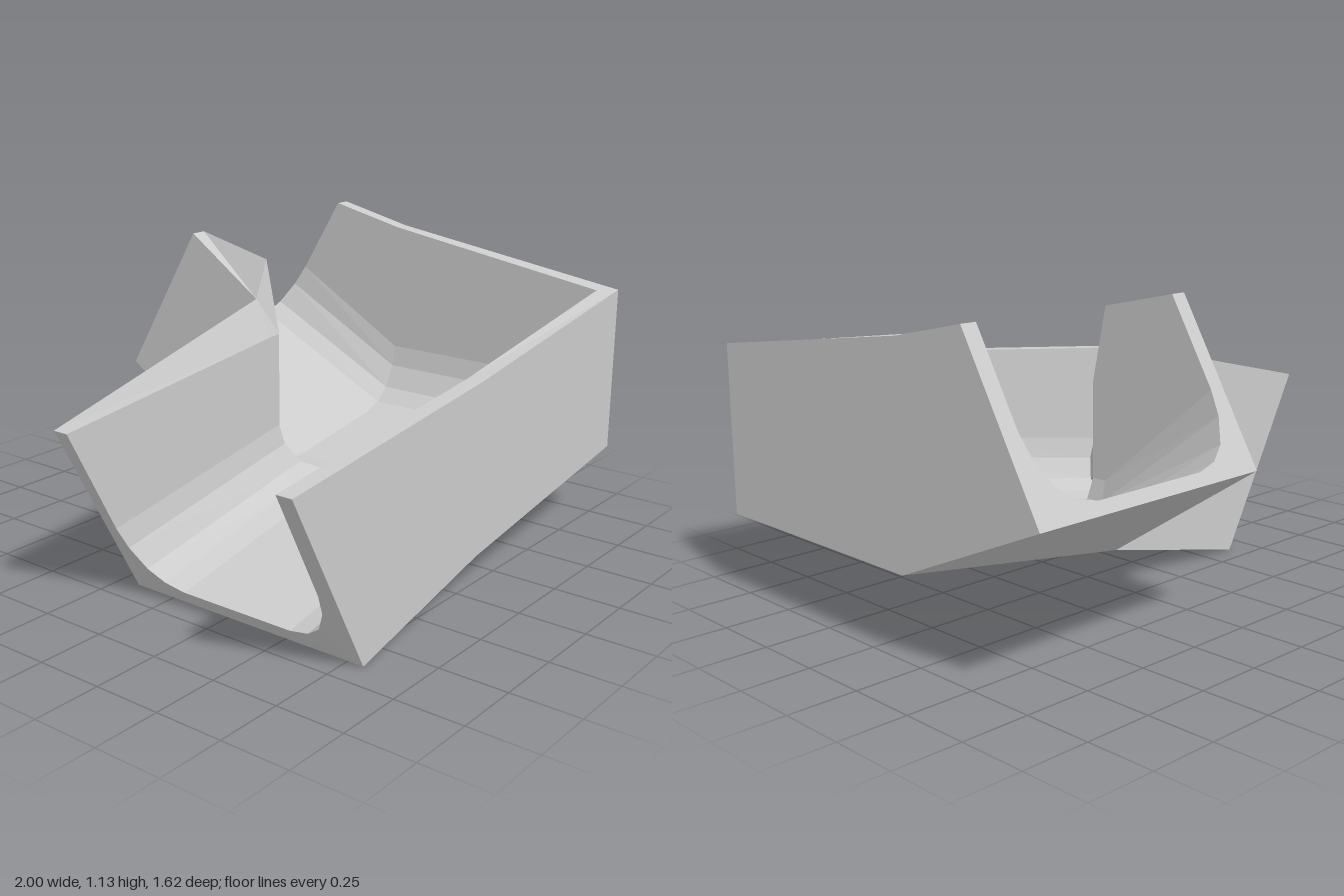
import * as THREE from 'three';

// Flat-faceted skin over rows of points; degenerate triangles are dropped
function skin(name, rows, material) {
  const pos = [];
  const tri = (...pts) => {
    const [a, b, c] = pts.map((p) => new THREE.Vector3(...p));
    if (b.clone().sub(a).cross(c.clone().sub(a)).length() > 1e-7) pos.push(...pts.flat());
  };
  for (let i = 0; i < rows.length - 1; i++) {
    for (let j = 0; j < rows[i].length - 1; j++) {
      const a = rows[i][j], b = rows[i][j + 1], c = rows[i + 1][j + 1], d = rows[i + 1][j];
      tri(a, b, c);
      tri(a, c, d);
    }
  }
  const geometry = new THREE.BufferGeometry();
  geometry.setAttribute('position', new THREE.Float32BufferAttribute(pos, 3));
  geometry.computeVertexNormals();
  const mesh = new THREE.Mesh(geometry, material);
  mesh.name = name;
  return mesh;
}

export function createModel() {
  const group = new THREE.Group();
  group.name = 'cornerTrough';
  const material = new THREE.MeshStandardMaterial({ color: 0xcccccc, flatShading: true });

  // Rounded trough profile: [distance across, height above floor]
  const width = 0.86;
  const fillet = [[0, 0.22], [0.015, 0.14], [0.06, 0.06], [0.12, 0.018], [0.2, 0]];
  const profile = [...fillet, ...fillet.map(([w, h]) => [width - w, h]).reverse()];
  const floorAt = (x) => 0.197 + (x - 0.02) * 0.143;

  // Channel section: the two wall tops around the rounded profile
  const section = (topInner, topOuter, place) =>
    [topInner, ...profile.map(([w, h]) => place(w, h)), topOuter];
  const inner = [
    section([-1, 0.67, -0.11], [-1, 0.67, 0.75],
      (w, h) => [-1 + (0.61 - h) * 0.52, 0.06 + h, -0.11 + w]),
    section([0.02, 0.78, -0.11], [0.02, 0.78, 0.75],
      (w, h) => [0.02, floorAt(0.02) + h, -0.11 + w]),
    section([0.08, 0.785, -0.11], [0.94, 0.92, 0.75],
      (w, h) => [0.08 + w, floorAt(0.08 + w) + h, -0.11 + w]),
    section([0.08, 1.06, -0.17], [0.94, 1.06, -0.17],
      (w, h) => [0.08 + w, floorAt(0.08 + w) + h, -0.17]),
    section([0.08, 1.13, -0.48], [0.94, 1.13, -0.48],
      (w, h) => [0.08 + w, 0.61 + h, -0.81 + (0.04 + h) * 0.59]),
  ];

  // Shell sections: inner-side top, inner-side bottom, outer-side bottom, outer-side top
  const outer = [
    [[-1, 0.67, -0.17], [-0.64, 0, -0.17], [-0.64, 0, 0.81], [-1, 0.67, 0.81]],
    [[0.02, 0.92, -0.17], [0.02, 0.15, -0.17], [0.02, 0.15, 0.81], [0.02, 0.78, 0.81]],
    [[0.02, 0.92, -0.17], [0.02, 0.15, -0.17], [1, 0.29, 0.81], [1, 0.92, 0.81]],
    [[0.02, 0.92, -0.17], [0.02, 0.15, -0.17], [1, 0.29, -0.17], [1, 1.06, -0.17]],
    [[0.02, 1.13, -0.48], [0.02, 0.57, -0.81], [1, 0.57, -0.81], [1, 1.13, -0.48]],
  ];

  // Shell corner that each channel point joins on an end face
  const last = inner[0].length - 1;
  const partners = (shell) => inner[0].map((_, j) =>
    shell[j === 0 ? 0 : j === last ? 3 : j <= last / 2 ? 1 : 2]);
  const startRim = partners(outer[0]);
  const endRim = partners(outer[4]);

  group.add(
    skin('channel', inner, material),
    skin('outerShell', outer.map((row) => [...row].reverse()), material),
    skin('innerCornerRim', outer.map((row, i) => [row[0], inner[i][0]]), material),
    skin('outerCornerRim', outer.map((row, i) => [inner[i][last], row[3]]), material),
    skin('sideArmEnd', inner[0].map((p, j) => [p, startRim[j]]), material),
    skin('backArmEnd', inner[4].map((p, j) => [endRim[j], p]), material),
  );
  return group;
}
